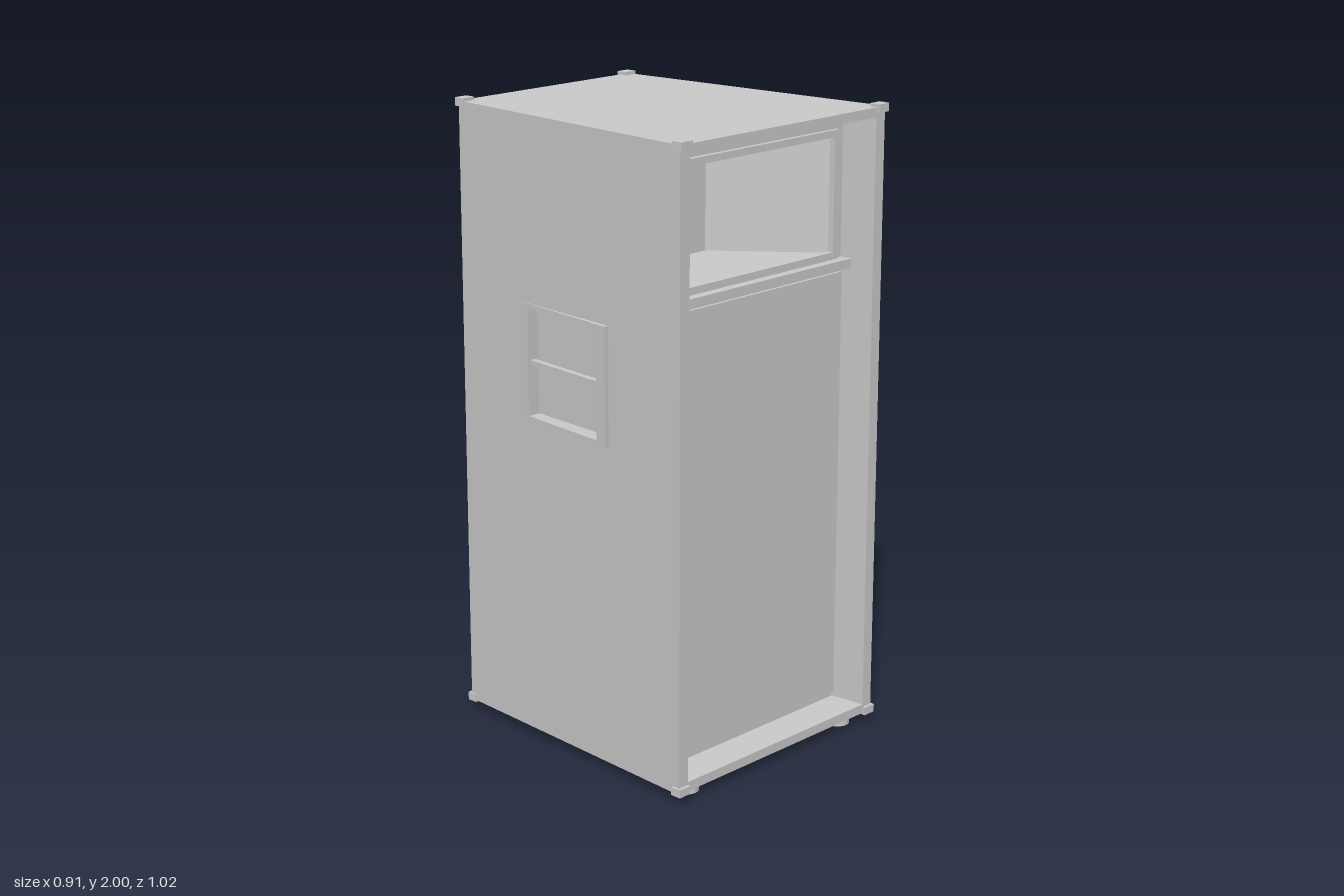
import * as THREE from 'three';

const mat = new THREE.MeshStandardMaterial({ color: 0xcccccc, flatShading: true });
const open = new THREE.MeshStandardMaterial({ color: 0xcccccc, flatShading: true, side: THREE.DoubleSide });

// Half width of the tapered cabinet at depth z
const half = (z) => 0.41 + 0.08 * z;
const BOTTOM = 0.03, TOP = 1.99, WALL = 0.04;

const rect = (P, x0, y0, x1, y1) => {
  const p = new P();
  p.moveTo(x0, y0);
  p.lineTo(x1, y0);
  p.lineTo(x1, y1);
  p.lineTo(x0, y1);
  p.closePath();
  return p;
};

// Rectangular plate, with an optional rectangular hole, extruded along +z
function plate(outer, hole, depth) {
  const shape = rect(THREE.Shape, ...outer);
  if (hole) shape.holes.push(rect(THREE.Path, ...hole));
  return new THREE.ExtrudeGeometry(shape, { depth, bevelEnabled: false });
}

// Turn a plate drawn in z/y to face side s, then shear it to follow x = offset + slope * z
function toSide(geo, s, offset, slope) {
  geo.rotateY((s * Math.PI) / 2);
  const p = geo.attributes.position;
  for (let i = 0; i < p.count; i++) p.setX(i, p.getX(i) + s * (offset + slope * p.getZ(i)));
  geo.computeVertexNormals();
  return geo;
}

// Rectangle z0..z1, y0..y1 in the drawing coordinates used by toSide
const sideRect = (s, z0, y0, z1, y1) => (s > 0 ? [-z1, y0, -z0, y1] : [z0, y0, z1, y1]);

export function createModel() {
  const model = new THREE.Group();
  const add = (name, geo, parent = model, material = mat) => {
    const mesh = new THREE.Mesh(geo, material);
    mesh.name = name;
    parent.add(mesh);
    return mesh;
  };
  const box = (name, x0, x1, y0, y1, z0, z1) => {
    const geo = new THREE.BoxGeometry(x1 - x0, y1 - y0, z1 - z0);
    return add(name, geo.translate((x0 + x1) / 2, (y0 + y1) / 2, (z0 + z1) / 2));
  };

  // Tapered top and bottom boards
  for (const [name, y] of [['topPanel', TOP - 0.03], ['bottomPanel', BOTTOM]]) {
    const shape = new THREE.Shape([[-1, 0.5], [1, 0.5], [1, -0.5], [-1, -0.5]]
      .map(([s, z]) => new THREE.Vector2(s * half(z), -z)).reverse());
    const geo = new THREE.ExtrudeGeometry(shape, { depth: 0.03, bevelEnabled: false });
    add(name, geo.rotateX(-Math.PI / 2).translate(0, y, 0));
  }
  box('backPanel', -half(-0.5), half(-0.5), BOTTOM, TOP, -0.5, -0.47);

  for (const s of [1, -1]) {
    const side = s > 0 ? 'left' : 'right';
    const hole = sideRect(s, -0.18, 1.06, 0.15, 1.4);

    // Side wall cut out for the handle
    const wall = plate(sideRect(s, -0.5, BOTTOM, 0.5, TOP), hole, WALL);
    add(side + 'SidePanel', toSide(wall, s, 0.41 - WALL, 0.08));

    // Recessed handle: rim, dish back and grip bar
    const handle = new THREE.Group();
    handle.name = side + 'Handle';
    model.add(handle);
    const rim = plate(sideRect(s, -0.22, 1.045, 0.19, 1.415), hole, 0.03);
    add('handleRim', toSide(rim, s, 0.389, 0.115), handle);
    const dish = plate(sideRect(s, -0.2, 1.04, 0.17, 1.42), null, 0.01);
    add('handleDish', toSide(dish, s, 0.36, 0.08), handle);
    const bar = plate(sideRect(s, -0.18, 1.217, 0.15, 1.235), null, 0.02);
    add('handleBar', toSide(bar, s, 0.386, 0.1), handle);
  }

  // Recessed front baffle, cut out for the horn
  add('baffle', plate([-0.4, 0.06, 0.4, 1.96], [-0.35, 1.535, 0.35, 1.9], 0.02)
    .translate(0, 0, 0.36));

  // Lower grille, divider and horn flange
  box('grille', -0.395, 0.395, 0.075, 1.47, 0.37, 0.39);
  box('divider', -0.403, 0.403, 1.485, 1.515, 0.37, 0.42);
  add('hornFlange', plate([-0.365, 1.517, 0.365, 1.917], [-0.345, 1.54, 0.345, 1.895], 0.02)
    .translate(0, 0, 0.375));

  // Horn with straight walls narrowing to a tall throat
  const mouth = 0.38, throat = 0.08;
  const profile = [[-0.35, mouth], [-0.11, throat], [0.11, throat], [0.35, mouth]];
  const verts = [];
  for (const [x, z] of profile) verts.push(x, 1.535, z, x, 1.9, z);
  const horn = new THREE.BufferGeometry();
  horn.setAttribute('position', new THREE.Float32BufferAttribute(verts, 3));
  const index = [];
  for (let i = 0; i < 6; i += 2) index.push(i, i + 2, i + 1, i + 1, i + 2, i + 3);
  index.push(0, 4, 2, 0, 6, 4, 1, 3, 5, 1, 5, 7);
  horn.setIndex(index);
  const flatHorn = horn.toNonIndexed();
  flatHorn.computeVertexNormals();
  add('horn', flatHorn, model, open);

  // Corner protectors and round feet
  for (const s of [1, -1]) {
    for (const f of [1, -1]) {
      const x = half(f * 0.5) - 0.017;
      for (const y of [0.038, 1.987]) {
        const corner = new THREE.BoxGeometry(0.046, 0.026, 0.036);
        add('cornerProtector', corner.translate(s * x, y, f * 0.492));
      }
      const foot = new THREE.CylinderGeometry(0.04, 0.04, 0.035, 24);
      add('foot', foot.translate(s * (f > 0 ? 0.355 : 0.275), 0.0175, f * 0.44));
    }
  }
  return model;
}
